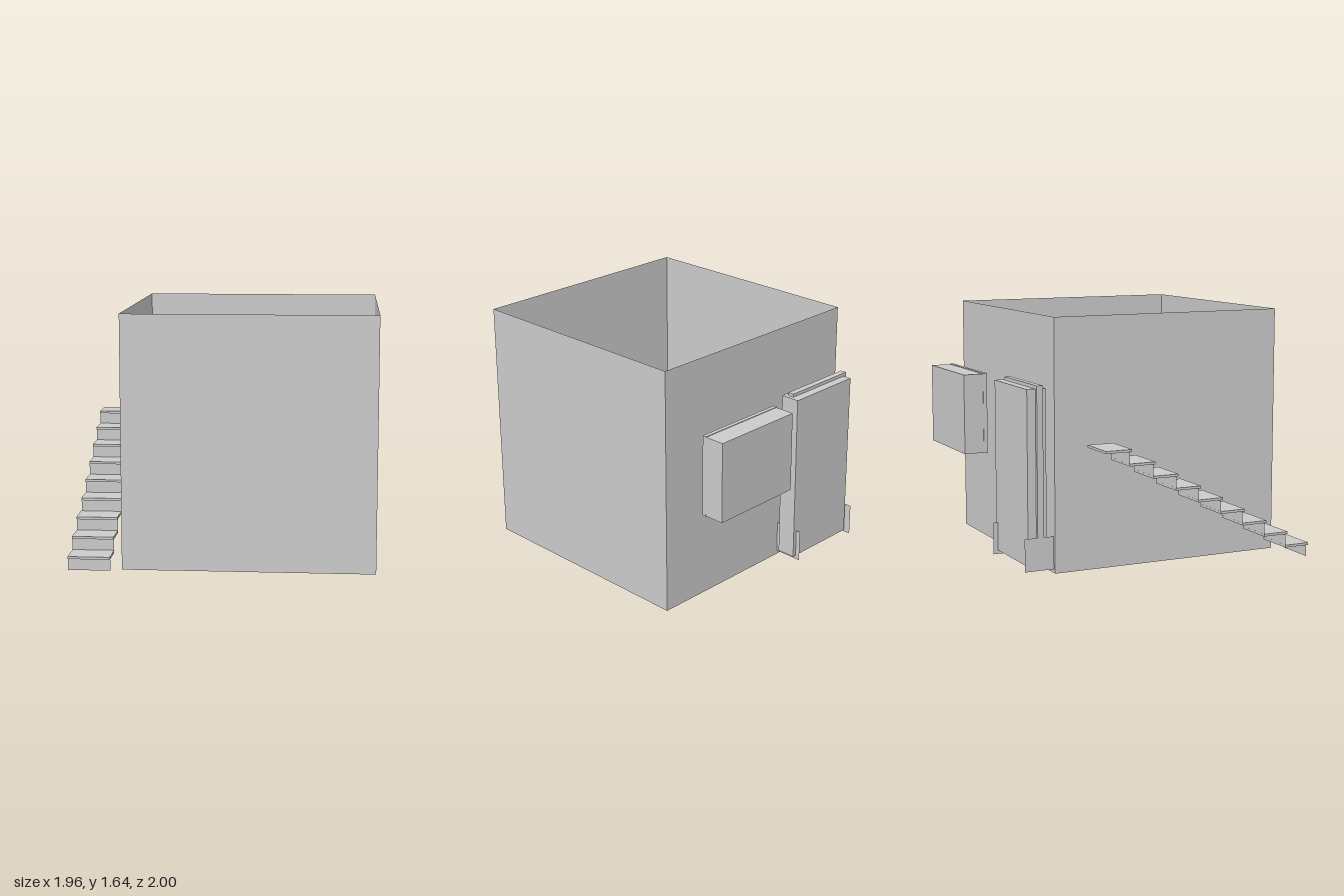
import * as THREE from 'three';

const solid = new THREE.MeshStandardMaterial({ color: 0xcccccc, flatShading: true });
const sheet = new THREE.MeshStandardMaterial({ color: 0xcccccc, flatShading: true, side: THREE.DoubleSide });

// Box given by its min and max on each axis
function box(name, [x0, x1], [y0, y1], [z0, z1]) {
  const mesh = new THREE.Mesh(new THREE.BoxGeometry(x1 - x0, y1 - y0, z1 - z0), solid);
  mesh.name = name;
  mesh.position.set((x0 + x1) / 2, (y0 + y1) / 2, (z0 + z1) / 2);
  return mesh;
}

// Upright thin sheet, turned about y
function upright(name, w, h, x, y, z, turn = 0) {
  const mesh = new THREE.Mesh(new THREE.PlaneGeometry(w, h), sheet);
  mesh.name = name;
  mesh.position.set(x, y, z);
  mesh.rotation.y = turn;
  return mesh;
}

// Four walls, open at top and bottom
function createWalls() {
  const walls = new THREE.Group();
  walls.name = 'walls';
  const w = 1.62, d = 1.615, h = 1.64, cx = 0.165, cz = 0.112;
  for (const s of [1, -1]) {
    const turn = s > 0 ? 0 : Math.PI;
    walls.add(upright(s > 0 ? 'frontWall' : 'backWall', w, h, cx, h / 2, cz + s * d / 2, turn));
    walls.add(upright(s > 0 ? 'leftWall' : 'rightWall', d, h, cx + s * w / 2, h / 2, cz, s * Math.PI / 2));
  }
  return walls;
}

// Straight flight of thin treads and risers
function createStairs() {
  const stairs = new THREE.Group();
  stairs.name = 'stairs';
  const rise = 0.091, run = 0.1644, thick = 0.016;
  const shifts = [-0.98, -0.975, -0.977];
  for (let i = 0; i < 9; i++) {
    const x = shifts[Math.floor(i / 3)], top = 0.1 + i * rise, front = 1 - i * run;
    stairs.add(box('tread', [x, x + 0.271], [top - thick, top], [front - 0.18, front]));
    const h = rise - thick;
    stairs.add(upright('riser', 0.271, h, x + 0.1355, top - thick - h / 2, front - 0.015));
  }
  return stairs;
}

// Door slab around a core panel, with foot plates and a handle
function createDoor() {
  const door = new THREE.Group();
  door.name = 'door';
  door.add(box('doorSlab', [-0.6, -0.057], [0.05, 1.19], [-0.863, -0.734]));
  door.add(box('doorCore', [-0.622, -0.083], [0.052, 1.212], [-0.805, -0.763]));
  for (const x of [-0.622, -0.083])
    door.add(upright('footPlate', 0.2, 0.215, x, 0.132, -0.795, Math.PI / 2));
  door.add(box('handle', [-0.55, -0.48], [0.637, 0.657], [-0.735, -0.727]));
  return door;
}

// Window block with a thin backing panel
function createWindow() {
  const win = new THREE.Group();
  win.name = 'window';
  win.add(box('windowBlock', [0.152, 0.797], [0.672, 1.207], [-1, -0.865]));
  win.add(box('windowBacking', [0.149, 0.799], [0.67, 1.211], [-0.865, -0.838]));
  return win;
}

export function createModel() {
  const model = new THREE.Group();
  model.name = 'house';
  model.add(createWalls(), createStairs(), createDoor(), createWindow());
  return model;
}
